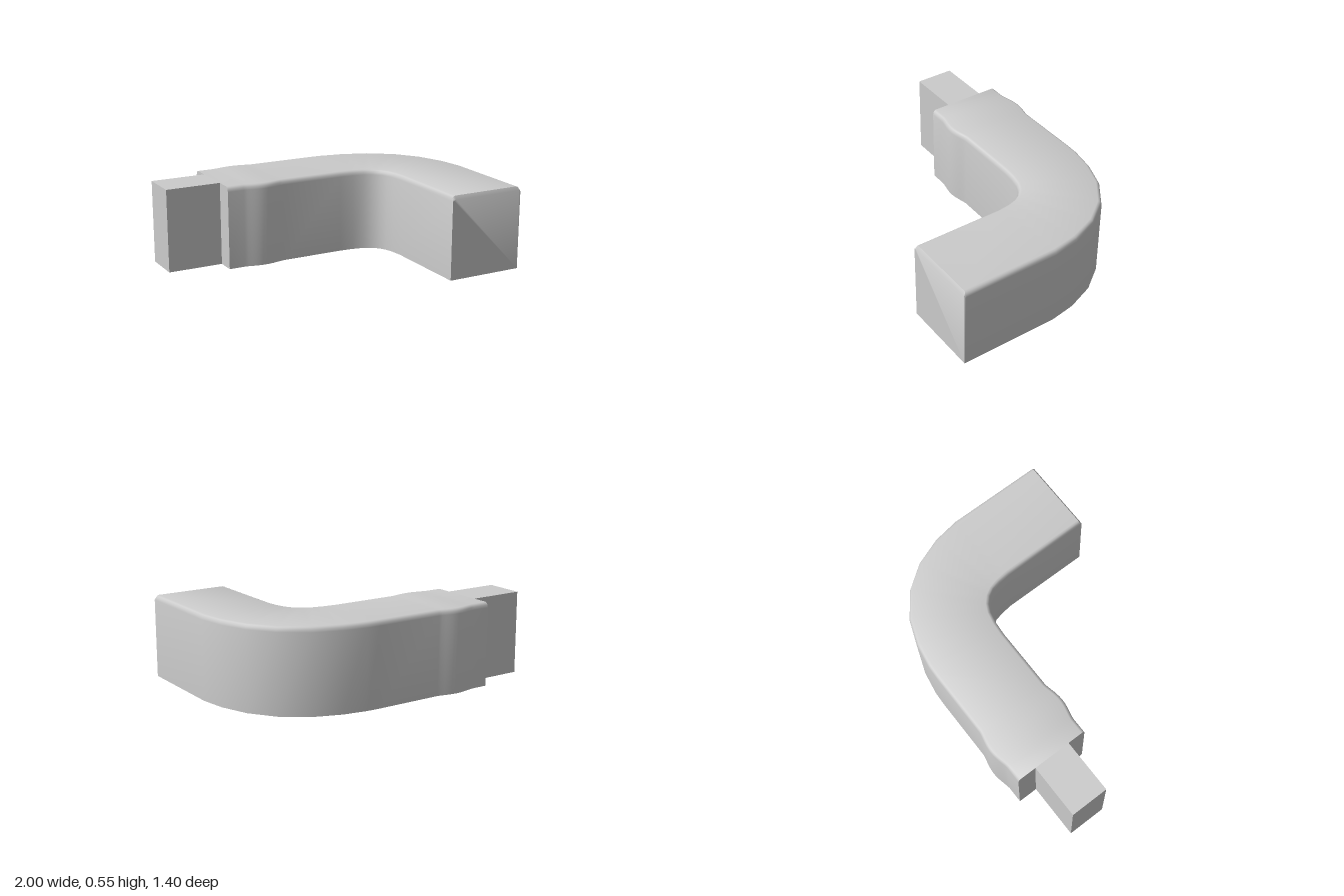
import * as THREE from 'three';
import { toCreasedNormals } from 'three/addons/utils/BufferGeometryUtils.js';

const HEIGHT = 0.545;
const material = new THREE.MeshStandardMaterial({ color: 0xcccccc });

// Plan sections along the body: [outer x, outer z, inner x, inner z, top drop]
function planSections() {
  const rows = [[-0.635, -0.68, -0.635, -0.17, 0]];
  // Shallow swelling on both flanks
  for (let i = 0; i <= 12; i++) {
    const t = i / 12;
    const x = -0.525 + 0.28 * t;
    const b = 0.023 * Math.sin(Math.PI * t) ** 1.3;
    rows.push([x, -0.68 - b, x, -0.17 + b, 0]);
  }
  // Bend and front arm
  rows.push(
    [0.2, -0.68, 0.18, -0.17, 0],
    [0.29, -0.676, 0.27, -0.163, 0],
    [0.445, -0.65, 0.345, -0.147, 0],
    [0.62, -0.587, 0.395, -0.122, 0],
    [0.785, -0.467, 0.435, -0.085, 0],
    [0.9, -0.31, 0.46, -0.04, 0],
    [0.97, -0.125, 0.475, 0.02, 0],
    [0.998, 0.05, 0.484, 0.1, 0],
    [0.998, 0.684, 0.484, 0.684, 0],
    [0.998, 0.698, 0.484, 0.698, 0.025],
  );
  return rows;
}

// Cross-section with rounded upper corners, lofted through the plan sections
function bodyGeometry() {
  const edge = [[0, 0], [0, 0.033], [0.004, 0.016], [0.012, 0.005], [0.024, 0]]; // [inset, depth below top]
  const pos = [];
  const rings = planSections().map(([ox, oz, ix, iz, drop]) => {
    const outer = new THREE.Vector3(ox, 0, oz);
    const inner = new THREE.Vector3(ix, 0, iz);
    const across = inner.clone().sub(outer).normalize();
    const side = (base, sign) => edge.map(([inset, depth], k) => {
      const p = base.clone().addScaledVector(across, sign * inset);
      p.y = k === 0 ? 0 : HEIGHT - Math.max(depth, drop);
      return p;
    });
    return [...side(outer, 1), ...side(inner, -1).reverse()];
  });
  const tri = (...pts) => pts.forEach((p) => pos.push(p.x, p.y, p.z));
  const n = rings[0].length;
  for (let i = 0; i < rings.length - 1; i++) {
    for (let j = 0; j < n; j++) {
      const k = (j + 1) % n;
      tri(rings[i][j], rings[i][k], rings[i + 1][j]);
      tri(rings[i][k], rings[i + 1][k], rings[i + 1][j]);
    }
  }
  // End caps
  const first = rings[0];
  const last = rings[rings.length - 1];
  for (let j = 1; j < n - 1; j++) {
    tri(first[0], first[j + 1], first[j]);
    tri(last[0], last[j], last[j + 1]);
  }
  const geometry = new THREE.BufferGeometry();
  geometry.setAttribute('position', new THREE.Float32BufferAttribute(pos, 3));
  return toCreasedNormals(geometry, Math.PI / 4.5);
}

export function createModel() {
  const group = new THREE.Group();
  group.name = 'curvedRailEnd';

  const body = new THREE.Mesh(bodyGeometry(), material);
  body.name = 'curvedBody';
  group.add(body);

  // Square tongue projecting from the straight end
  const tongue = new THREE.Mesh(new THREE.BoxGeometry(0.365, HEIGHT, 0.255), material);
  tongue.name = 'tongue';
  tongue.position.set(-0.8175, HEIGHT / 2, -0.4225);
  group.add(tongue);

  return group;
}
